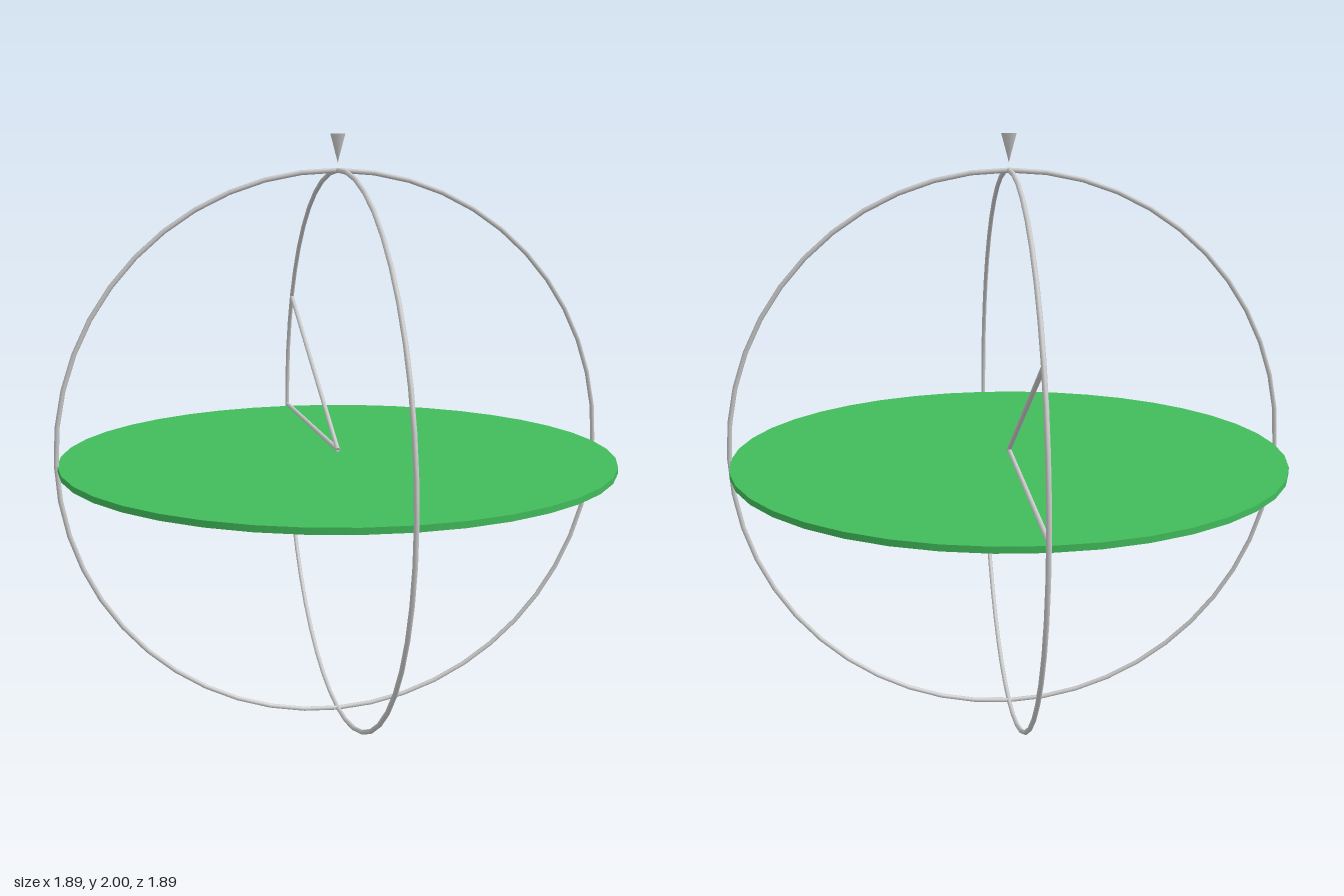
import * as THREE from 'three';

export function createModel() {
  const model = new THREE.Group();
  const grey = new THREE.MeshStandardMaterial({ color: 0xcccccc });
  const green = new THREE.MeshStandardMaterial({ color: 0x41bc5b });
  const centreY = 0.946, ringRadius = 0.938, tube = 0.008;

  function add(name, geometry, material, y = 0) {
    const mesh = new THREE.Mesh(geometry, material);
    mesh.name = name;
    mesh.position.y = y;
    model.add(mesh);
    return mesh;
  }

  // Thin straight rod between two points
  function rod(name, from, to) {
    const dir = to.clone().sub(from);
    const mesh = add(name, new THREE.CylinderGeometry(tube, tube, dir.length(), 8), grey);
    mesh.position.copy(from).add(to).multiplyScalar(0.5);
    mesh.quaternion.setFromUnitVectors(new THREE.Vector3(0, 1, 0), dir.normalize());
  }

  // Two crossed upright rings
  ['sideRing', 'frontRing'].forEach((name, i) => {
    const ring = add(name, new THREE.TorusGeometry(ringRadius, tube, 8, 48), grey, centreY);
    ring.rotation.y = i ? 0 : Math.PI / 2;
  });

  // Flat disc through the middle
  add('horizonDisc', new THREE.CylinderGeometry(0.935, 0.935, 0.02, 40), green, 0.931);

  // Rods marking an angle above the disc, towards the back
  const origin = new THREE.Vector3(0, 0.951, 0);
  rod('horizontalRod', origin, new THREE.Vector3(0, 0.951, -0.937));
  rod('slopingRod', origin, new THREE.Vector3(0, 1.405, -0.817));

  // Downward pointer above the top crossing
  add('topPointer', new THREE.CylinderGeometry(0.025, 0, 0.092, 8), grey, 1.954);

  return model;
}
